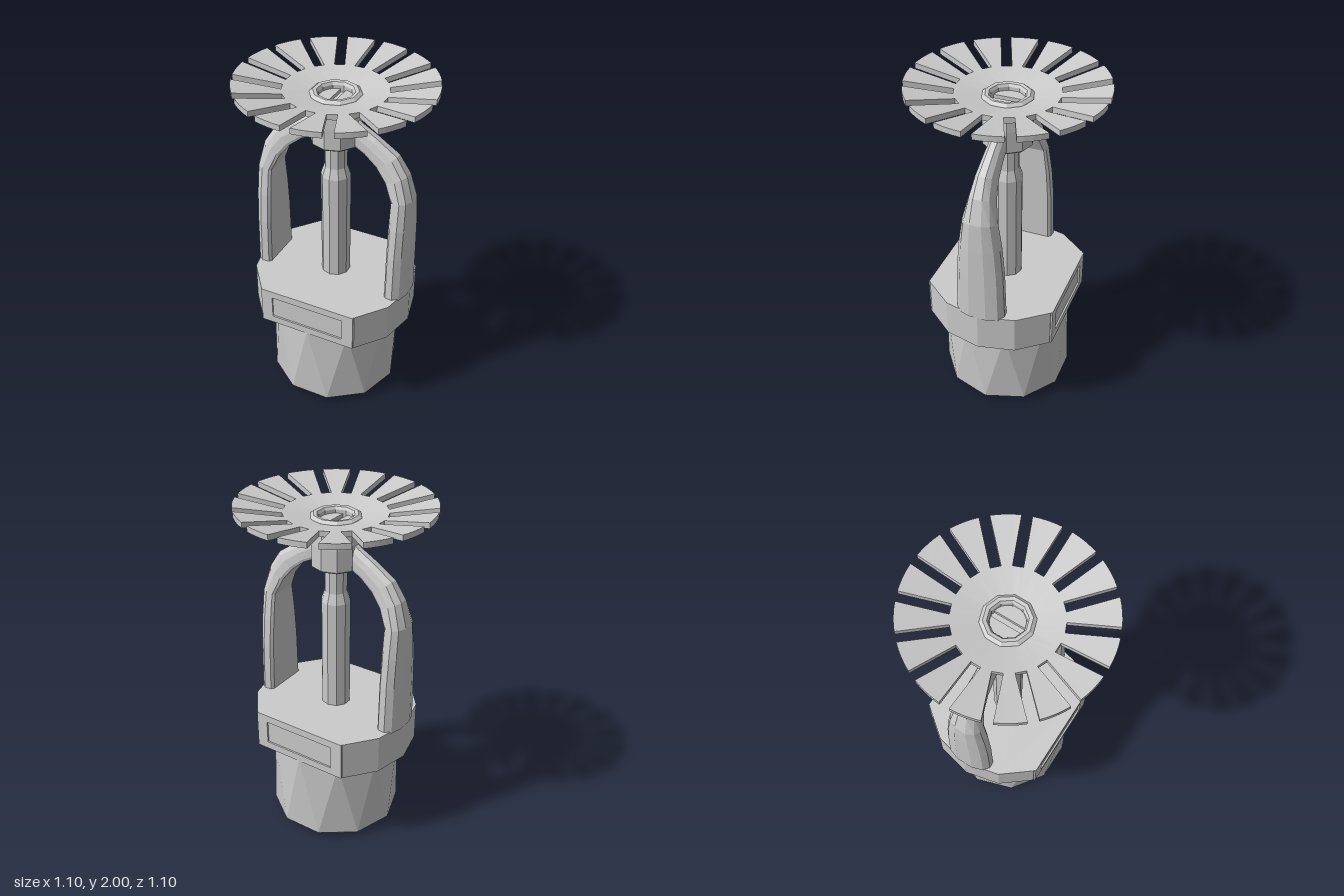
import * as THREE from 'three';

const mat = new THREE.MeshStandardMaterial({ color: 0xcccccc, flatShading: true });
const V2 = (x, y) => new THREE.Vector2(x, y);

function add(parent, name, geometry, y = 0) {
  const mesh = new THREE.Mesh(geometry, mat);
  mesh.name = name;
  mesh.position.y = y;
  parent.add(mesh);
  return mesh;
}

// Skin over closed rings of equal point count, counterclockwise seen from above
function loft(rings) {
  const n = rings[0].length, index = [];
  for (let r = 0; r < rings.length - 1; r++) {
    for (let i = 0; i < n; i++) {
      const a = r * n + i, b = r * n + (i + 1) % n;
      index.push(a, b, a + n, b, b + n, a + n);
    }
  }
  const g = new THREE.BufferGeometry();
  g.setAttribute('position', new THREE.Float32BufferAttribute(rings.flat(2), 3));
  g.setIndex(index);
  g.computeVertexNormals();
  return g;
}

function ring(radius, y, turn = 0, n = 10) {
  return Array.from({ length: n }, (_, i) => {
    const a = (i / n) * Math.PI * 2 + turn;
    return [radius * Math.cos(a), y, -radius * Math.sin(a)];
  });
}

const lathe = (points) => new THREE.LatheGeometry(points.map(p => V2(...p)), 10);

// Inlet: ten-sided plug with a bore, its upper ring turned half a step
function inlet() {
  return loft([ring(0, 0.5), ring(0.2, 0.5), ring(0.2, 0), ring(0.35, 0),
    ring(0.385, 0.035), ring(0.385, 0.545, Math.PI / 10)]);
}

// Round flange with two flats
function flange() {
  const R = 0.48, half = Math.asin(0.375 / R), pts = [];
  for (const base of [0, Math.PI]) {
    for (let i = -2; i <= 2; i++) {
      const a = base + (half * i) / 2;
      pts.push(V2(R * Math.cos(a), R * Math.sin(a)));
    }
  }
  return new THREE.ExtrudeGeometry(new THREE.Shape(pts), { depth: 0.23, bevelEnabled: false })
    .rotateX(-Math.PI / 2);
}

// Raised border that leaves a shallow recessed panel on a flat
function panelBorder() {
  const rect = (x, y) => [V2(-x, -y), V2(x, -y), V2(x, y), V2(-x, y)];
  const shape = new THREE.Shape(rect(0.295, 0.115));
  shape.holes.push(new THREE.Path(rect(0.225, 0.07).reverse()));
  return new THREE.ExtrudeGeometry(shape, { depth: 0.01, bevelEnabled: false });
}

// Frame arm: wide blade below, narrowing as it bends in to the hub
function arm() {
  const halfSection = [[1, 0.35], [0.6, 0.8], [0, 1], [-0.75, 0.97], [-1, 0.85]];
  const section = [...halfSection, ...halfSection.map(([u, v]) => [u, -v]).reverse()];
  // outer x, outer y, inner x, inner y, half width
  const stations = [
    [0.48, 0.76, 0.37, 0.76, 0.145], [0.48, 1.05, 0.37, 1.05, 0.136],
    [0.48, 1.23, 0.37, 1.23, 0.12], [0.475, 1.4, 0.37, 1.39, 0.095],
    [0.435, 1.54, 0.325, 1.49, 0.072], [0.37, 1.64, 0.265, 1.565, 0.058],
    [0.25, 1.72, 0.19, 1.625, 0.05], [0.155, 1.775, 0.14, 1.65, 0.045],
    [0.08, 1.83, 0.08, 1.65, 0.04],
  ];
  return loft(stations.map(([ox, oy, ix, iy, w]) => section.map(([u, v]) => [
    (ox + ix) / 2 + (u * (ox - ix)) / 2, (oy + iy) / 2 + (u * (oy - iy)) / 2, -v * w])));
}

// One tine of the deflector with its slice of the dished centre
function tine() {
  const step = Math.PI / 16, slot = 0.028, R = 0.55, root = 0.285;
  const edge = (r, side, off) => V2(
    r * Math.cos(step) + off * Math.sin(step),
    side * (r * Math.sin(step) - off * Math.cos(step)));
  const pts = [edge(0.11, -1, 0), edge(root, -1, 0), edge(root, -1, slot)];
  const rim = step - Math.asin(slot / R);
  for (let i = -2; i <= 2; i++) {
    const a = (rim * i) / 2;
    pts.push(V2(R * Math.cos(a), R * Math.sin(a)));
  }
  pts.push(edge(root, 1, slot), edge(root, 1, 0), edge(0.11, 1, 0));
  const g = new THREE.ExtrudeGeometry(new THREE.Shape(pts), { depth: 0.032, bevelEnabled: false })
    .rotateX(-Math.PI / 2);
  // Dish: height rises with distance from the axis
  const p = g.attributes.position;
  for (let i = 0; i < p.count; i++) {
    p.setY(i, p.getY(i) + 1.968 - 0.18 * (R - Math.hypot(p.getX(i), p.getZ(i))));
  }
  g.computeVertexNormals();
  return g;
}

export function createModel() {
  const model = new THREE.Group();
  model.name = 'sprinklerHead';

  add(model, 'inlet', inlet());
  add(model, 'flange', flange(), 0.54);

  const borderGeo = panelBorder(), armGeo = arm();
  ['front', 'back'].forEach((side, i) => {
    const border = add(model, side + 'PanelBorder', borderGeo, 0.655);
    border.position.z = i ? -0.375 : 0.375;
    border.rotation.y = i * Math.PI;
  });
  ['left', 'right'].forEach((side, i) => {
    add(model, side + 'Arm', armGeo).rotation.y = i * Math.PI;
  });

  // Central strut with a narrower neck
  add(model, 'strut', lathe([[0.085, 0.765], [0.085, 1.43], [0.065, 1.49], [0.065, 1.66]]));

  // Hub, flaring under the deflector and rolled over above it
  add(model, 'hub', lathe([[0, 1.645], [0.132, 1.645], [0.142, 1.655], [0.142, 1.78],
    [0.136, 1.85], [0.155, 1.9], [0.142, 1.93], [0.125, 1.943], [0.105, 1.94],
    [0.095, 1.925], [0.095, 1.885], [0, 1.885]]));

  // Slotted screw head inside the hub
  for (const side of [0, 1]) {
    const half = new THREE.Shape();
    half.absarc(0, 0, 0.092, -Math.PI / 2 + 0.18, Math.PI / 2 - 0.18);
    half.closePath();
    const geo = new THREE.ExtrudeGeometry(half,
      { depth: 0.02, bevelEnabled: false, curveSegments: 6 }).rotateX(-Math.PI / 2);
    add(model, 'screwHalf', geo, 1.885).rotation.y = side * Math.PI;
  }

  // Deflector: sixteen tines parted by slots
  const deflector = new THREE.Group();
  deflector.name = 'deflector';
  const tineGeo = tine();
  for (let i = 0; i < 16; i++) {
    add(deflector, 'tine', tineGeo).rotation.y = ((i + 0.5) * Math.PI) / 8;
  }
  model.add(deflector);
  return model;
}
